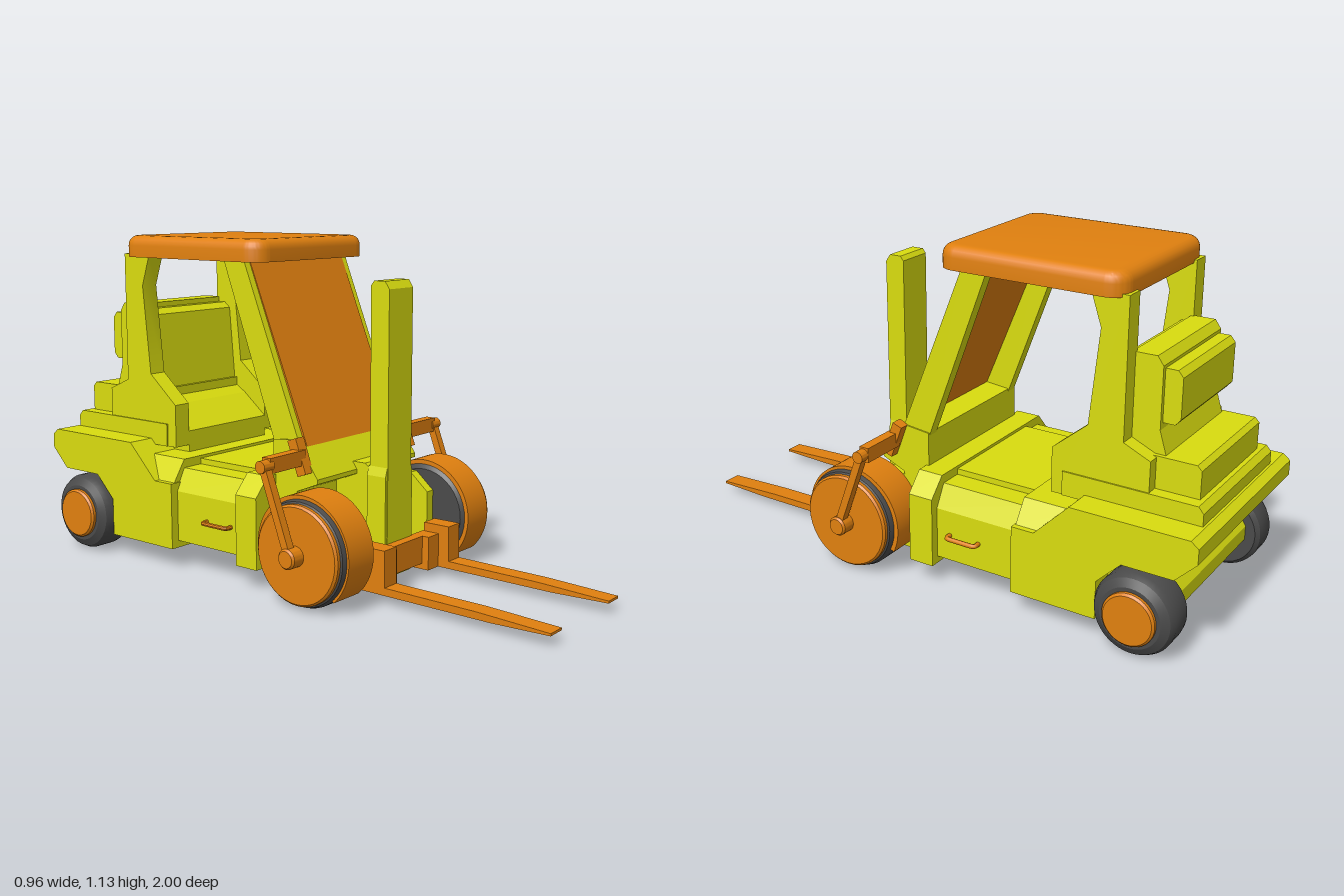
import * as THREE from 'three';
import { toCreasedNormals } from 'three/addons/utils/BufferGeometryUtils.js';

const mat = (color) => new THREE.MeshStandardMaterial({ color, side: THREE.DoubleSide });

export function createModel() {
  const model = new THREE.Group();
  const yellow = mat(0xd9dc0f), orange = mat(0xe0800f), rubber = mat(0x4a4a4a);

  const add = (name, geo, material) => {
    const mesh = new THREE.Mesh(geo, material);
    mesh.name = name;
    model.add(mesh);
    return mesh;
  };
  // Box given by its limits
  const box = (x0, x1, y0, y1, z0, z1) =>
    new THREE.BoxGeometry(x1 - x0, y1 - y0, z1 - z0).translate((x0 + x1) / 2, (y0 + y1) / 2, (z0 + z1) / 2);
  const shapeOf = (pts) => new THREE.Shape(pts.map((p) => new THREE.Vector2(...p)));
  // Side profile of (z, y) points, swept across x
  const across = (shape, x0, x1) =>
    new THREE.ExtrudeGeometry(shape, { depth: x1 - x0, bevelEnabled: false, curveSegments: 32 })
      .rotateY(-Math.PI / 2).translate(x1, 0, 0);
  const profile = (pts, x0, x1) => across(shapeOf(pts), x0, x1);
  // Symmetric front section of right-half (x, y) points, swept along z
  const section = (half, z0, z1) => {
    const pts = [...half, ...half.map(([x, y]) => [-x, y]).reverse()];
    return new THREE.ExtrudeGeometry(shapeOf(pts), { depth: z1 - z0, bevelEnabled: false }).translate(0, 0, z0);
  };
  // Turned part with its axle along x
  const turned = (pts, y, z) => toCreasedNormals(
    new THREE.LatheGeometry(pts.map((p) => new THREE.Vector2(...p)), 40)
      .rotateZ(-Math.PI / 2).translate(0, y, z), 0.5);
  // Part on the left side and its mirror image on the right
  const pair = (name, geo, material) => {
    const left = geo.index ? geo.toNonIndexed() : geo;
    add(name + 'Left', left, material);
    const right = left.clone().scale(-1, 1, 1);
    for (const attr of Object.values(right.attributes)) {
      for (let i = 0; i < attr.count; i += 3) {
        for (let k = 0; k < attr.itemSize; k++) {
          const a = attr.getComponent(i, k);
          attr.setComponent(i, k, attr.getComponent(i + 2, k));
          attr.setComponent(i + 2, k, a);
        }
      }
    }
    right.deleteAttribute('normal');
    right.computeVertexNormals();
    add(name + 'Right', toCreasedNormals(right, 0.5), material);
  };

  // Chassis
  add('middleChassis', section([[0.34, 0.095], [0.34, 0.27], [0.30, 0.345]], -0.39, -0.07), yellow);
  const frame = [[0.37, 0.07], [0.37, 0.31], [0.31, 0.375]];
  add('frontFrame', section(frame, -0.08, 0.01), yellow);
  add('rearFrame', section([[0.35, 0.07], [0.35, 0.3], [0.30, 0.375]], -0.58, -0.385), yellow);
  add('floor', box(-0.22, 0.22, 0.33, 0.365, -0.4, 0), yellow);
  add('counterweight', profile([
    [-0.38, 0.07], [-0.38, 0.30], [-0.46, 0.30], [-0.58, 0.42], [-0.975, 0.42], [-1, 0.40],
    [-1, 0.35], [-0.93, 0.28], [-0.76, 0.28], [-0.68, 0.2], [-0.68, 0.07],
  ], -0.37, 0.37), yellow);
  add('rearAxleHousing', profile([
    [-0.66, 0.08], [-0.66, 0.29], [-0.82, 0.29], [-0.9, 0.17], [-0.9, 0.12], [-0.86, 0.08],
  ], -0.29, 0.29), yellow);

  // Front cowl with overhanging lip, and wheel mounts beside it
  add('cowl', profile([
    [0, 0.07], [0, 0.49], [0.1, 0.5], [0.185, 0.38], [0.185, 0.365],
    [0.1, 0.33], [0.1, 0.05], [0.05, 0.05],
  ], -0.27, 0.27), yellow);
  pair('wheelMount', profile([
    [0.05, 0.05], [0.05, 0.32], [0.2, 0.32], [0.27, 0.26], [0.27, 0.11], [0.2, 0.05],
  ], 0.225, 0.27), yellow);
  pair('stepHandle', new THREE.TubeGeometry(new THREE.CatmullRomCurve3([
    [0.335, 0.185, -0.13], [0.36, 0.185, -0.13], [0.365, 0.185, -0.14],
    [0.365, 0.185, -0.23], [0.36, 0.185, -0.24], [0.335, 0.185, -0.24],
  ].map((p) => new THREE.Vector3(...p)), false, 'catmullrom', 0.1), 24, 0.008, 8), orange);

  // Cab: pillars, windscreen and rounded roof
  pair('frontPillar', profile([[0.1, 0.5], [0, 0.48], [-0.22, 1.07], [-0.13, 1.07]], 0.225, 0.265), yellow);
  add('windscreen', profile([[0.118, 0.475], [0.1, 0.475], [-0.145, 1.07], [-0.127, 1.07]], -0.24, 0.24), orange);
  pair('rearPillar', profile([
    [-0.46, 0.4], [-0.46, 0.55], [-0.58, 0.65], [-0.612, 0.96], [-0.575, 1.07], [-0.70, 1.07],
    [-0.70, 0.62], [-0.79, 0.58], [-0.79, 0.4],
  ], 0.2, 0.265), yellow);
  const b = 0.035, rx = 0.29 - b, rz = 0.322 - b, r = 0.03;
  const roof = new THREE.Shape();
  [[1, -1], [1, 1], [-1, 1], [-1, -1]].forEach(([sx, sz], i) =>
    roof.absarc(sx * (rx - r), sz * (rz - r), r, (i - 1) * Math.PI / 2, i * Math.PI / 2));
  const roofGeo = new THREE.ExtrudeGeometry(roof, {
    depth: 0.04, bevelThickness: b, bevelSize: b, bevelSegments: 5, curveSegments: 8,
  }).rotateX(-Math.PI / 2);
  const rp = roofGeo.attributes.position;
  for (let i = 0; i < rp.count; i++) {
    // square off the lower edge so only the top is rounded
    if (rp.getY(i) < 0) rp.setY(i, 0);
  }
  add('roof', toCreasedNormals(roofGeo.translate(0, 1.06, -0.368), 0.6), orange);

  // Seat and stepped engine cover
  add('seat', profile([
    [-0.46, 0.37], [-0.46, 0.45], [-0.56, 0.53], [-0.61, 0.56], [-0.635, 0.85],
    [-0.66, 0.87], [-0.71, 0.87], [-0.71, 0.37],
  ], -0.2, 0.2), yellow);
  add('engineBase', profile([
    [-0.5, 0.4], [-0.5, 0.48], [-0.95, 0.48], [-0.967, 0.46], [-0.967, 0.4],
  ], -0.27, 0.27), yellow);
  add('engineCover', profile([
    [-0.6, 0.46], [-0.6, 0.585], [-0.92, 0.585], [-0.935, 0.57], [-0.935, 0.46],
  ], -0.225, 0.225), yellow);
  add('engineTower', profile([
    [-0.69, 0.55], [-0.69, 0.888], [-0.77, 0.888], [-0.79, 0.86], [-0.79, 0.66], [-0.815, 0.58], [-0.815, 0.55],
  ], -0.21, 0.21), yellow);
  add('radiatorCover', profile([
    [-0.77, 0.68], [-0.77, 0.85], [-0.83, 0.85], [-0.847, 0.83], [-0.847, 0.7], [-0.83, 0.68],
  ], -0.195, 0.195), yellow);

  // Front wheels with wrap-round guards
  const fy = 0.175, fz = 0.23;
  pair('frontTyre', turned([
    [0, 0.26], [0.155, 0.26], [0.172, 0.275], [0.175, 0.3], [0.175, 0.39], [0.168, 0.41], [0.15, 0.42], [0, 0.42],
  ], fy, fz), rubber);
  pair('frontWheelDisc', turned([[0, 0.40], [0.162, 0.40], [0.162, 0.425], [0.155, 0.432], [0, 0.432]], fy, fz), orange);
  pair('frontHub', turned([[0, 0.42], [0.033, 0.42], [0.033, 0.475], [0.027, 0.482], [0, 0.482]], fy, fz), orange);
  const guard = new THREE.Shape();
  guard.absarc(0.225, fy, 0.185, -0.82, 3.6, false);
  guard.absarc(0.225, fy, 0.17, 3.6, -0.82, true);
  pair('wheelGuard', toCreasedNormals(across(guard, 0.27, 0.395), 0.5), orange);

  // Linkage from cowl to front hubs
  const tilt = 0.36;
  pair('linkBracket', box(-0.02, 0.02, -0.06, 0.06, -0.018, 0.018).rotateX(-tilt)
    .translate(0.282, 0.45, 0.125), orange);
  pair('linkBar', box(0.28, 0.45, 0.425, 0.475, 0.11, 0.145), orange);
  pair('linkPin', turned([[0, 0.435], [0.02, 0.435], [0.02, 0.482], [0, 0.482]], 0.45, 0.13), orange);
  pair('linkArm', box(-0.014, 0.014, -0.145, 0.145, -0.013, 0.013).rotateX(-tilt)
    .translate(0.459, 0.315, 0.18), orange);

  // Rear wheels
  pair('rearTyre', turned([
    [0, 0.28], [0.12, 0.28], [0.133, 0.295], [0.135, 0.31], [0.135, 0.375], [0.125, 0.395], [0.1, 0.41], [0, 0.41],
  ], 0.137, -0.815), rubber);
  pair('rearHub', turned([[0, 0.4], [0.087, 0.4], [0.087, 0.42], [0.08, 0.427], [0, 0.427]], 0.137, -0.815), orange);

  // Mast
  add('mast', profile([
    [0.24, 0.03], [0.24, 0.99], [0.252, 1.005], [0.295, 1.005], [0.312, 0.98], [0.312, 0.03],
  ], -0.065, 0.065), yellow);
  add('mastBase', section([[0.075, 0.03], [0.075, 0.37], [0.065, 0.40]], 0.235, 0.31), yellow);
  add('mastMount', profile([
    [0.08, 0.06], [0.08, 0.36], [0.17, 0.405], [0.22, 0.405], [0.25, 0.38], [0.25, 0.06],
  ], -0.065, 0.065), yellow);

  // Fork carriage and tapering forks
  add('forkCarriage', box(-0.21, 0.21, 0.05, 0.145, 0.305, 0.345), orange);
  pair('carriageBlock', profile([
    [0.31, 0.03], [0.31, 0.145], [0.37, 0.145], [0.37, 0.03],
  ], 0.09, 0.155), orange);
  pair('fork', profile([
    [0.31, 0.03], [0.31, 0.175], [0.41, 0.175], [0.412, 0.055], [0.75, 0.052], [1, 0.042], [1, 0.034], [0.8, 0.028],
  ], 0.15, 0.215), orange);

  return model;
}
